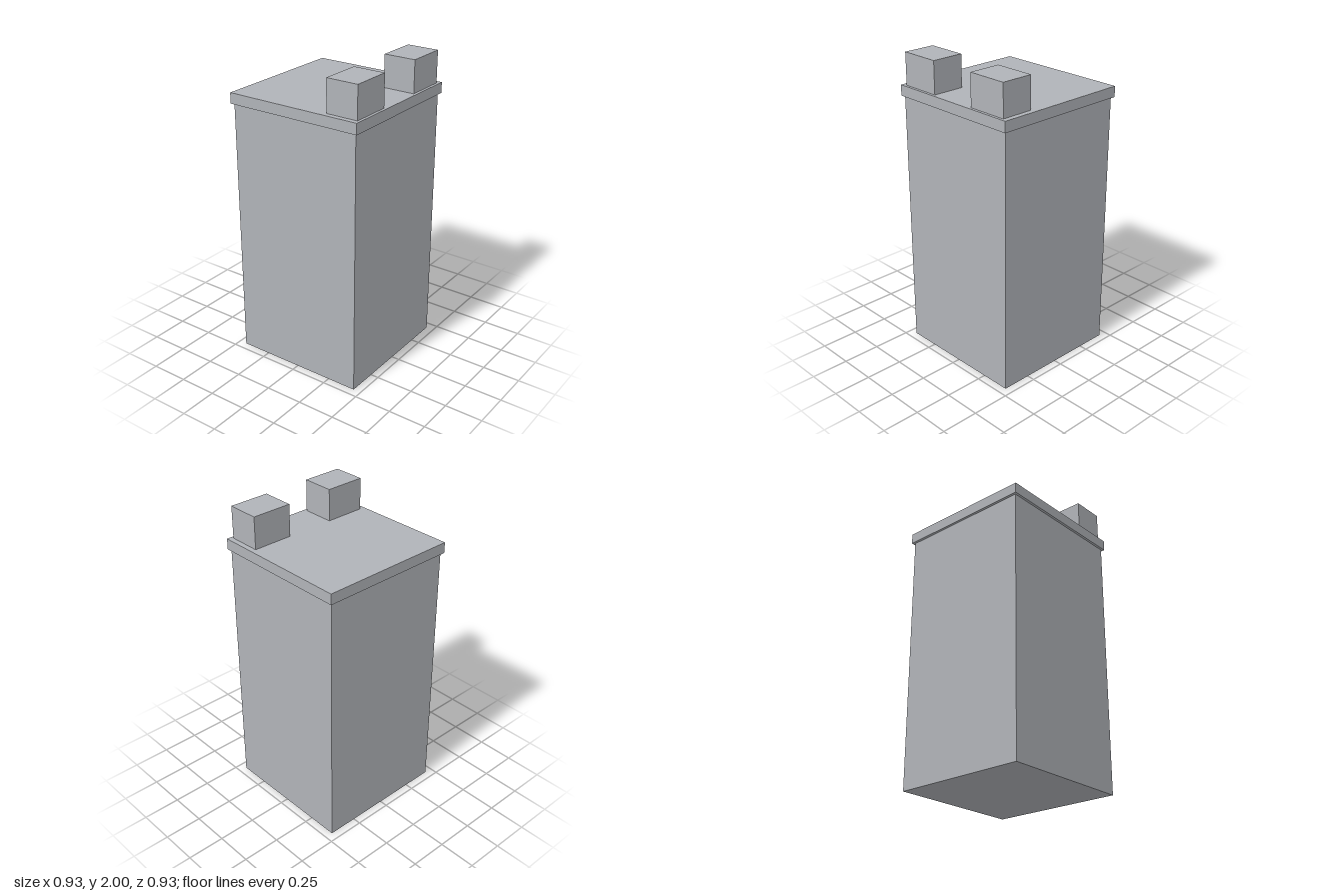
import * as THREE from 'three';

export function createModel() {
  const model = new THREE.Group();
  const concrete = new THREE.MeshStandardMaterial({ color: 0xb0b3b8 });
  concrete.name = 'concrete grey';

  // Box placed by its bottom height and its centre in x and z
  const addBox = (name, [w, h, d], [x, bottom, z]) => {
    const mesh = new THREE.Mesh(new THREE.BoxGeometry(w, h, d), concrete);
    mesh.name = name;
    mesh.position.set(x, bottom + h / 2, z);
    model.add(mesh);
  };

  // Main block and overhanging roof slab
  addBox('tower', [0.895, 1.72, 0.895], [0, 0, 0]);
  addBox('roofSlab', [0.927, 0.07, 0.927], [0, 1.72, 0]);

  // Pair of rooftop units along the front edge
  for (const side of [-1, 1]) {
    addBox(side > 0 ? 'leftRoofUnit' : 'rightRoofUnit', [0.268, 0.21, 0.214], [side * 0.295, 1.79, 0.338]);
  }

  return model;
}
